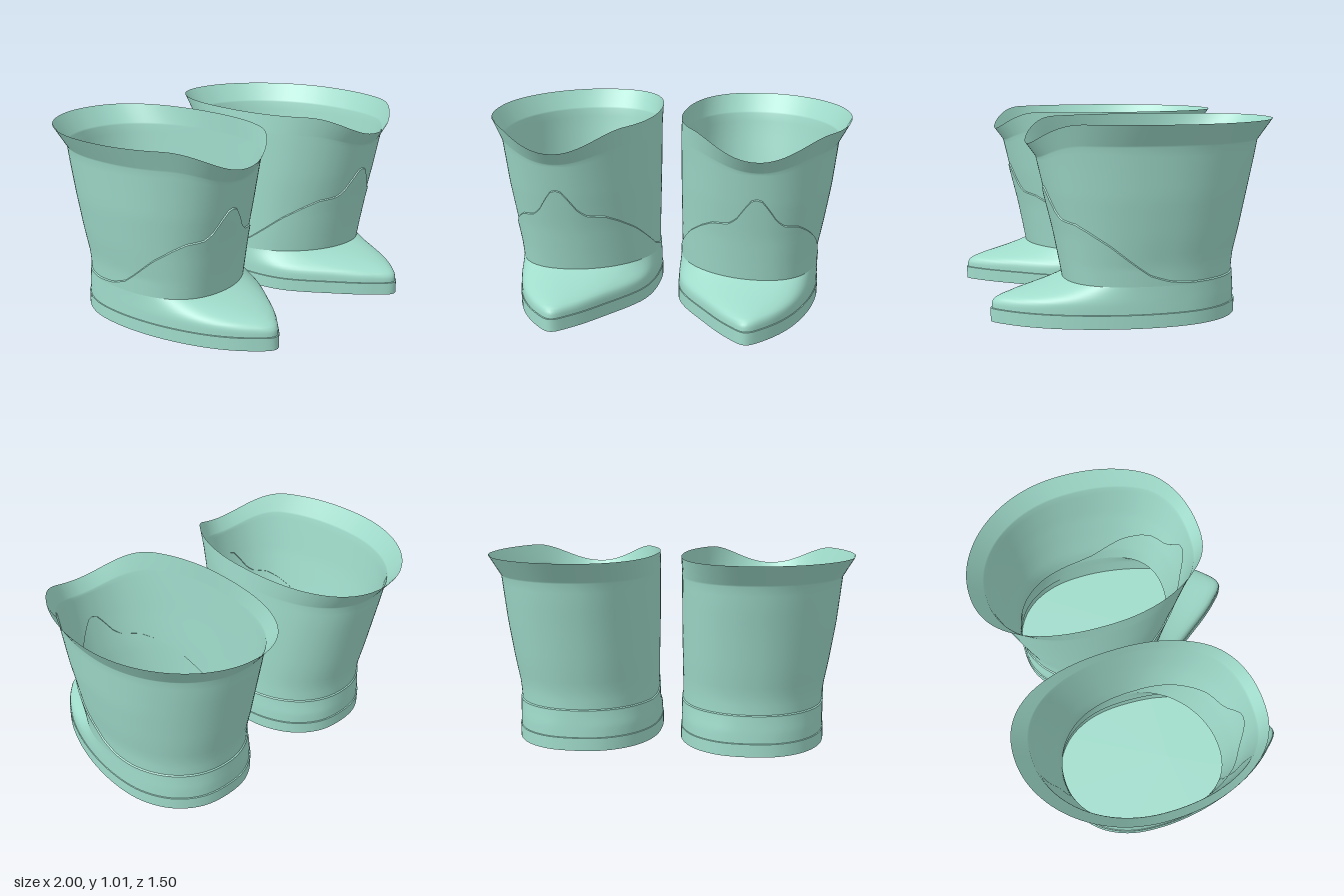
import * as THREE from 'three';

const SEG = 112;
const material = new THREE.MeshStandardMaterial({ color: 0xa0dccb, side: THREE.DoubleSide });

// Linear lookup in rows of [key, value, value, ...]
function lookup(table, key) {
  let i = 0;
  while (i < table.length - 2 && key > table[i + 1][0]) i++;
  const a = table[i], b = table[i + 1];
  const t = THREE.MathUtils.clamp((key - a[0]) / (b[0] - a[0]), 0, 1);
  return a.map((v, k) => v + (b[k] - v) * t).slice(1);
}

// Shaft extents by height: inner x, outer x, back z, front z
const SHAFT = [
  [0.2, 0.073, 0.838, -0.534, 0.366],
  [0.3, 0.072, 0.846, -0.54, 0.385],
  [0.45, 0.07, 0.875, -0.575, 0.415],
  [0.65, 0.068, 0.908, -0.617, 0.465],
  [0.8, 0.068, 0.925, -0.65, 0.5],
  [0.905, 0.068, 0.937, -0.67, 0.525],
];
const RIM = [0.07, 1.0, -0.75, 0.56];

// Height of the stitched panel edge by angle away from the front
const PANEL_EDGE = [
  [0, 0.68], [0.06, 0.67], [0.14, 0.62], [0.24, 0.555], [0.34, 0.527], [0.45, 0.52], [0.56, 0.513],
  [0.72, 0.48], [0.98, 0.41], [1.2, 0.33], [1.4, 0.26], [1.6, 0.226], [1.85, 0.215], [Math.PI, 0.215],
];

// Sole outline, from the toe around the outer side to the heel and back
const SOLE = [
  [0.505, 0.747], [0.6, 0.675], [0.72, 0.5], [0.815, 0.23], [0.85, -0.05], [0.825, -0.27],
  [0.74, -0.43], [0.61, -0.525], [0.455, -0.55], [0.3, -0.525], [0.17, -0.43], [0.085, -0.27],
  [0.06, -0.05], [0.1, 0.23], [0.27, 0.5], [0.41, 0.675],
];
const soleCurve = new THREE.CatmullRomCurve3(SOLE.map(([x, z]) => new THREE.Vector3(x, 0, z)), true);

// Rounded oval through the given extents; its ends lean to the toe and heel line
function oval([x0, x1, z0, z1], a, grow = 0) {
  const power = (v) => Math.sign(v) * Math.abs(v) ** 0.94;
  const s = power(Math.sin(a)), c = power(Math.cos(a)), cx = (x0 + x1) / 2;
  const lean = ((c > 0 ? 0.53 : 0.46) - cx) * c * c;
  return [cx + lean + ((x1 - x0) / 2 + grow) * s, (z0 + z1) / 2 + ((z1 - z0) / 2 + grow) * c];
}
const shaftPoint = (y, a, grow = 0) => {
  const [x, z] = oval(lookup(SHAFT, y), a, grow);
  return [x, y, z];
};
const solePoint = (y, a, scale = 1) => {
  const p = soleCurve.getPoint(a / (2 * Math.PI));
  return [0.455 + (p.x - 0.455) * scale, y, 0.1 + (p.z - 0.1) * scale];
};
const lerp3 = (p, q, t) => p.map((v, k) => v + (q[k] - v) * t);
const fromFront = (a) => Math.min(a, 2 * Math.PI - a);
const panelEdge = (a) => lookup(PANEL_EDGE, fromFront(a))[0];
const rimDip = (a) => {
  const f = fromFront(a);
  return f < 0.85 ? 0.11 * Math.cos((f / 0.85) * Math.PI / 2) ** 2 : 0;
};

// Closed rings, listed upwards, joined into a skin; side = -1 mirrors it
function loft(name, rings, side) {
  const pos = [], idx = [];
  rings.forEach((ring) => {
    for (let i = 0; i < SEG; i++) {
      const [x, y, z] = ring((i / SEG) * 2 * Math.PI);
      pos.push(side * x, y, z);
    }
  });
  for (let j = 0; j < rings.length - 1; j++) {
    for (let i = 0; i < SEG; i++) {
      const k = (i + 1) % SEG;
      const a = j * SEG + i, b = j * SEG + k, c = b + SEG, d = a + SEG;
      if (side > 0) idx.push(a, b, c, a, c, d);
      else idx.push(a, c, b, a, d, c);
    }
  }
  const geometry = new THREE.BufferGeometry();
  geometry.setAttribute('position', new THREE.Float32BufferAttribute(pos, 3));
  geometry.setIndex(idx);
  geometry.computeVertexNormals();
  const mesh = new THREE.Mesh(geometry, material);
  mesh.name = name;
  return mesh;
}

function makeBoot(side) {
  const boot = new THREE.Group();
  const inset = 0.99, lip = 0.007, ankleY = 0.208;

  // Sole: flat underside, upright edge and narrow welt
  boot.add(loft('soleUnderside', [() => [0.455, 0, 0.1], (a) => solePoint(0, a)], side));
  boot.add(loft('soleEdge', [(a) => solePoint(0, a), (a) => solePoint(0.068, a)], side));
  boot.add(loft('soleWelt', [(a) => solePoint(0.068, a), (a) => solePoint(0.07, a, inset)], side));

  // Foot: level sections drawing back from the pointed toe to the ankle
  const reach = [
    [0.07, 1], [0.09, 1], [0.105, 0.985], [0.118, 0.95], [0.128, 0.89], [0.14, 0.78],
    [0.155, 0.58], [0.17, 0.38], [0.185, 0.21], [0.198, 0.08], [ankleY, 0],
  ];
  boot.add(loft('foot', reach.map(([y, t]) => (a) => {
    const [x, , z] = lerp3(shaftPoint(ankleY, a, lip), solePoint(y, a, inset), t);
    return [x, y, z];
  }), side));

  // Lower panel, ending in a small raised edge
  const lower = [];
  for (let j = 0; j <= 10; j++) {
    lower.push((a) => shaftPoint(THREE.MathUtils.lerp(ankleY, panelEdge(a), j / 10), a, lip));
  }
  boot.add(loft('lowerPanel', lower, side));
  boot.add(loft('panelEdge', [
    (a) => shaftPoint(panelEdge(a), a, lip),
    (a) => shaftPoint(panelEdge(a) + 0.005, a),
  ], side));

  // Shaft and flared collar, dipping at the front
  const upper = [];
  const collarY = (a) => 0.9 - 0.65 * rimDip(a);
  for (let j = 0; j <= 14; j++) {
    upper.push((a) => shaftPoint(THREE.MathUtils.lerp(panelEdge(a) + 0.005, collarY(a), j / 14), a));
  }
  for (const t of [0.08, 0.3, 0.6, 0.9, 1]) {
    upper.push((a) => {
      const [x, z] = oval(RIM, a);
      return lerp3(shaftPoint(collarY(a), a), [x, 1.01 - rimDip(a), z], t);
    });
  }
  boot.add(loft('shaft', upper, side));
  return boot;
}

export function createModel() {
  const model = new THREE.Group();
  model.name = 'boots';
  for (const [name, side] of [['leftBoot', 1], ['rightBoot', -1]]) {
    const boot = makeBoot(side);
    boot.name = name;
    model.add(boot);
  }
  return model;
}
